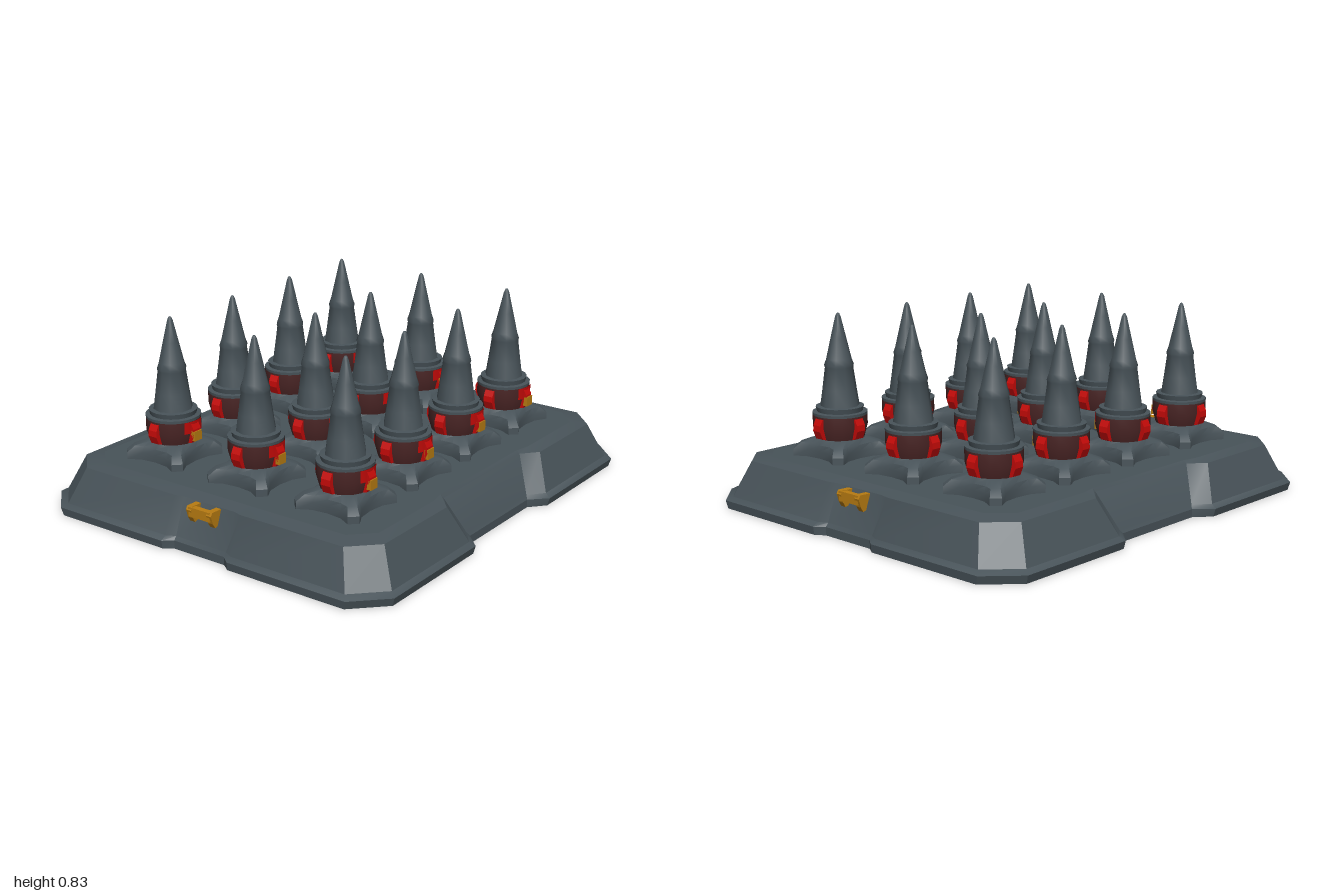
import * as THREE from 'three';
import { toCreasedNormals } from 'three/addons/utils/BufferGeometryUtils.js';

const material = (name, color, side = THREE.FrontSide) => {
  const m = new THREE.MeshStandardMaterial({ color, side });
  m.name = name;
  return m;
};

// Skin between stacked rings of [x, y, z] points
function loft(rings, crease) {
  const n = rings[0].length, index = [];
  for (let j = 0; j < rings.length - 1; j++) {
    for (let i = 0; i < n; i++) {
      const a = j * n + i, b = j * n + (i + 1) % n;
      index.push(a, b, b + n, a, b + n, a + n);
    }
  }
  const g = new THREE.BufferGeometry();
  g.setAttribute('position', new THREE.Float32BufferAttribute(rings.flat(2), 3));
  g.setIndex(index);
  return toCreasedNormals(g, crease);
}

const lathe = (profile, sides, crease, start = 0, length = Math.PI * 2) =>
  toCreasedNormals(new THREE.LatheGeometry(
    profile.map(([r, y]) => new THREE.Vector2(r, y)), sides, start, length), crease);

// Chamfered rectangle with a shallow notch in the middle of each side
function baseRing({ y, X, Z, c, nx, nz, s }) {
  const q = [[0.13, nz], [0.17, Z], [X - c, Z], [X, Z - c], [X, s + 0.07], [nx, s]];
  const r = [...q].reverse();
  const m = (list, sx, sz) => list.map(([x, z]) => [x * sx, y, z * sz]);
  return [...m(q, 1, 1), ...m(r, 1, -1), ...m(q, -1, -1), ...m(r, -1, 1)];
}

// Square foot outline with pinched sides; blend 1 turns it into a circle
function footRing(y, blend, radius) {
  const q = [[0, 0.12], [0.07, 0.128], [0.125, 0.158], [0.158, 0.125], [0.128, 0.07]];
  const ring = [];
  for (let k = 0; k < 4; k++) {
    const a = k * Math.PI / 2, cos = Math.cos(a), sin = Math.sin(a);
    for (const [px, pz] of q) {
      const x = px * cos + pz * sin, z = pz * cos - px * sin;
      const f = 1 + (radius / Math.hypot(x, z) - 1) * blend;
      ring.push([x * f, y, z * f]);
    }
  }
  return ring;
}

export function createModel() {
  const model = new THREE.Group();
  model.name = 'spikeTrap';
  const steel = material('slate steel', 0x485359, THREE.DoubleSide);
  const rust = material('dark red collar', 0x4a2525, THREE.DoubleSide);
  const red = material('bright red', 0xc40a08, THREE.DoubleSide);
  const gold = material('gold', 0xb87c12);

  const add = (parent, name, geometry, mat) => {
    const mesh = new THREE.Mesh(geometry, mat);
    mesh.name = name;
    parent.add(mesh);
    return mesh;
  };

  // Hollow base: sloped walls, open underneath
  const rings = [
    { y: 0, X: 0.86, Z: 0.995, c: 0.13, nx: 0.8, nz: 0.968, s: 0.23 },
    { y: 0.035, X: 0.87, Z: 1, c: 0.13, nx: 0.8, nz: 0.968, s: 0.23 },
    { y: 0.05, X: 0.845, Z: 0.975, c: 0.125, nx: 0.79, nz: 0.955, s: 0.24 },
    { y: 0.203, X: 0.775, Z: 0.91, c: 0.11, nx: 0.715, nz: 0.9, s: 0.3 },
    { y: 0.215, X: 0.715, Z: 0.84, c: 0.09, nx: 0.7, nz: 0.84, s: 0.3 },
  ].map(baseRing);
  add(model, 'baseWalls', loft(rings, 0.5), steel);

  // Deck with an opening beneath every foot
  const columns = [-0.45, 0, 0.45], rows = [-0.6, -0.2, 0.2, 0.6];
  const deck = new THREE.Shape(rings[4].map(([x, , z]) => new THREE.Vector2(x, -z)));
  const opening = footRing(0, 0, 1);
  for (const cx of columns) for (const cz of rows) {
    deck.holes.push(new THREE.Path(opening.map(([x, , z]) => new THREE.Vector2(x + cx, -z - cz))));
  }
  const deckGeometry = new THREE.ShapeGeometry(deck);
  deckGeometry.rotateX(-Math.PI / 2).translate(0, 0.215, 0);
  add(model, 'deck', deckGeometry, steel);

  // Shared spike parts
  const foot = loft([
    footRing(0.213, 0, 1), footRing(0.245, 0, 1), footRing(0.273, 0.4, 0.115),
    footRing(0.294, 1, 0.105), footRing(0.294, 1, 0.002),
  ], 0.7);
  const collar = lathe([[0.1, 0.285], [0.106, 0.305], [0.117, 0.345], [0.117, 0.395]], 20, 0.6);
  const flange = lathe([[0.117, 0.393], [0.118, 0.405], [0.098, 0.407], [0.103, 0.428], [0.08, 0.43]], 20, 0.5);
  const spike = lathe([[0.085, 0.42], [0.073, 0.5], [0.06, 0.595], [0.063, 0.605], [0.054, 0.63],
    [0.033, 0.72], [0.012, 0.81], [0.006, 0.824], [0, 0.827]], 10, 0.9);
  const lugShape = new THREE.Shape([[0.1, 0.295], [0.118, 0.3], [0.133, 0.335], [0.131, 0.36],
    [0.118, 0.385], [0.1, 0.385]].map(p => new THREE.Vector2(...p)));
  const lug = new THREE.ExtrudeGeometry(lugShape, { depth: 0.044, bevelEnabled: false });
  lug.translate(0, 0, -0.022);
  const panel = lathe([[0.12, 0.343], [0.121, 0.394]], 5, 0.8, Math.PI / 2 - 0.45, 0.9);
  const latch = new THREE.BoxGeometry(0.02, 0.042, 0.044);

  // Spikes in a three by four grid
  for (const x of columns) for (const z of rows) {
    const unit = new THREE.Group();
    unit.name = 'spikeUnit';
    unit.position.set(x, 0, z);
    add(unit, 'foot', foot, steel);
    add(unit, 'collar', collar, rust);
    add(unit, 'flange', flange, steel);
    add(unit, 'spike', spike, steel);
    for (let k = 0; k < 4; k++) add(unit, 'lug', lug, red).rotation.y = k * Math.PI / 2;
    add(unit, 'sidePanel', panel, red);
    add(unit, 'latch', latch, gold).position.set(0.127, 0.331, 0);
    model.add(unit);
  }

  // Gold handles at front and back; prongs pass through the wall
  const prongShape = new THREE.Shape([[0.88, 0.145], [0.94, 0.13], [0.952, 0.15], [0.963, 0.185],
    [0.955, 0.2], [0.88, 0.198]].map(p => new THREE.Vector2(...p)));
  const prong = new THREE.ExtrudeGeometry(prongShape, { depth: 0.026, bevelEnabled: false });
  prong.translate(0, 0, -0.013).rotateY(-Math.PI / 2);
  const grip = new THREE.BoxGeometry(0.11, 0.04, 0.025);
  for (const turn of [0, Math.PI]) {
    const handle = new THREE.Group();
    handle.name = turn ? 'backHandle' : 'frontHandle';
    handle.rotation.y = turn;
    add(handle, 'grip', grip, gold).position.set(0, 0.178, 0.948);
    for (const side of [-1, 1]) add(handle, 'prong', prong, gold).position.x = side * 0.052;
    model.add(handle);
  }
  return model;
}
